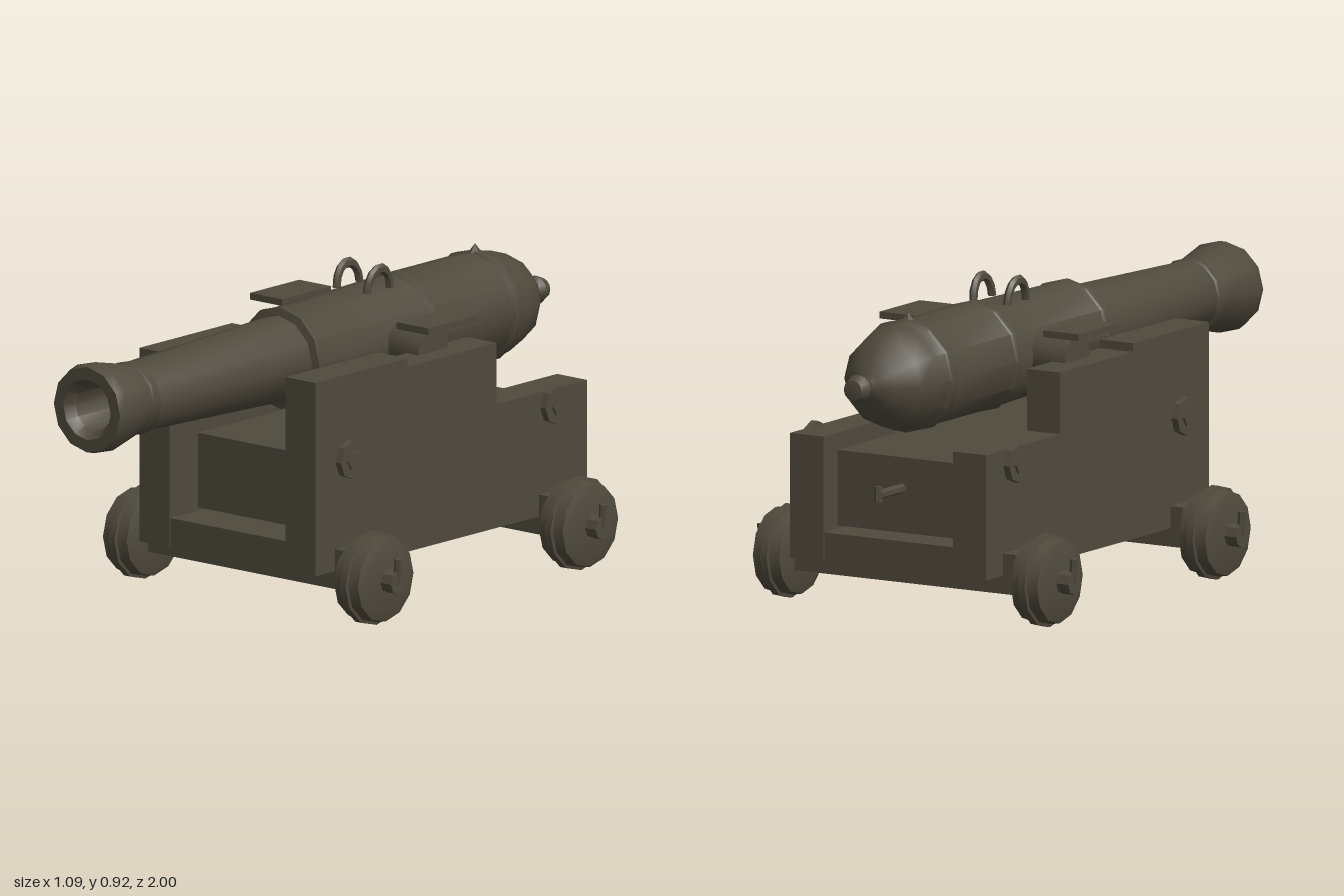
import * as THREE from 'three';
import { toCreasedNormals } from 'three/addons/utils/BufferGeometryUtils.js';

export function createModel() {
  const model = new THREE.Group();
  model.name = 'shipCannon';
  const iron = new THREE.MeshStandardMaterial({ color: 0x4f4a3d });
  iron.name = 'dark weathered iron';

  const add = (name, geometry, x = 0, y = 0, z = 0, parent = model) => {
    const mesh = new THREE.Mesh(toCreasedNormals(geometry, 0.7), iron);
    mesh.name = name;
    mesh.position.set(x, y, z);
    parent.add(mesh);
    return mesh;
  };
  // Box given by its minimum and maximum on each axis
  const block = (name, x0, x1, y0, y1, z0, z1) =>
    add(name, new THREE.BoxGeometry(x1 - x0, y1 - y0, z1 - z0),
      (x0 + x1) / 2, (y0 + y1) / 2, (z0 + z1) / 2);
  // Turned part from [radius, position along axis] pairs
  const turned = (points, sides) =>
    new THREE.LatheGeometry(points.map(([r, a]) => new THREE.Vector2(r, a)), sides);

  // Barrel with breech knob, reinforcing steps, flared muzzle and bore
  add('barrel', turned([
    [0, -1], [0.03, -0.995], [0.042, -0.965], [0.024, -0.925], [0.04, -0.915],
    [0.085, -0.89], [0.13, -0.835], [0.152, -0.765], [0.16, -0.72],
    [0.166, -0.715], [0.166, -0.69], [0.16, -0.685],
    [0.16, -0.37], [0.164, -0.365], [0.164, -0.345], [0.158, -0.34],
    [0.146, 0.13], [0.15, 0.135], [0.15, 0.155], [0.126, 0.16],
    [0.104, 0.795], [0.109, 0.8], [0.109, 0.825], [0.104, 0.83],
    [0.134, 0.965], [0.126, 1], [0.09, 1], [0.068, 0.97], [0.068, 0.75], [0, 0.75],
  ], 12).rotateX(Math.PI / 2), 0, 0.705, 0);
  add('vent', new THREE.ConeGeometry(0.022, 0.03, 5), 0, 0.875, -0.7);

  // Carriage bed between the cheeks
  block('floor', -0.22, 0.22, 0.155, 0.24, -0.8, 0.38);
  block('bed', -0.22, 0.22, 0.25, 0.47, -0.73, 0.26);
  add('rearHook', new THREE.CylinderGeometry(0.014, 0.014, 0.14, 6).rotateX(Math.PI / 2), 0, 0.38, -0.79);
  add('rearHookTip', new THREE.CylinderGeometry(0.012, 0.012, 0.045, 6), 0, 0.382, -0.858);

  const wheelProfile = [[0, -0.055], [0.09, -0.055], [0.122, -0.045], [0.128, -0.013], [0.137, -0.011],
    [0.137, 0.011], [0.128, 0.013], [0.122, 0.045], [0.09, 0.055], [0, 0.055]];

  for (const s of [-1, 1]) {
    const side = s < 0 ? 'right' : 'left';
    const pair = (a, b) => (s > 0 ? [a, b] : [-b, -a]);
    const cheek = pair(0.22, 0.333);

    // Stepped cheek
    block(side + 'CheekFront', ...cheek, 0.155, 0.725, -0.02, 0.385);
    block(side + 'CheekMiddle', ...cheek, 0.155, 0.7, -0.41, -0.02);
    block(side + 'CheekRear', ...cheek, 0.155, 0.52, -0.805, -0.41);

    // Trunnion and its cap plate
    add(side + 'Trunnion', new THREE.CylinderGeometry(0.066, 0.066, 0.165, 12).rotateZ(Math.PI / 2),
      s * 0.1825, 0.705, -0.21);
    block(side + 'CapPlate', ...pair(0.217, 0.338), 0.778, 0.798, -0.32, -0.105);

    // Lifting handle, an arch along the barrel
    const arch = new THREE.TorusGeometry(0.05, 0.012, 6, 7, Math.PI).rotateY(Math.PI / 2).scale(1, 1.3, 1);
    add(side + 'Handle', arch, s * 0.057, 0.848, -0.21).rotation.z = -s * 0.06;

    for (const z of [0.25, -0.647]) {
      const end = z > 0 ? 'Front' : 'Rear';
      // Wheel, hub and linchpin
      const wheel = new THREE.Group();
      wheel.name = side + end + 'Wheel';
      wheel.position.set(s * 0.438, 0.143, z);
      model.add(wheel);
      add('tyre', turned(wheelProfile, 12).rotateZ(-Math.PI / 2), 0, 0, 0, wheel);
      add('hub', new THREE.CylinderGeometry(0.035, 0.035, 0.045, 8).rotateZ(Math.PI / 2),
        s * 0.073, 0, 0, wheel);
      add('linchpin', new THREE.CylinderGeometry(0.012, 0.01, 0.09, 6),
        s * 0.09, 0.025, 0, wheel).rotation.z = -s * 0.1;

      // Bolt on the cheek
      add(side + end + 'Washer', new THREE.CylinderGeometry(0.057, 0.057, 0.022, 8).rotateZ(Math.PI / 2),
        s * 0.343, 0.475, z - 0.01);
      add(side + end + 'Nut', new THREE.CylinderGeometry(0.03, 0.03, 0.012, 6).rotateZ(Math.PI / 2),
        s * 0.355, 0.475, z - 0.01);
    }
  }

  // Axle beams with round ends passing into the wheels
  for (const z of [0.238, -0.655]) {
    const end = z > 0 ? 'front' : 'rear';
    block(end + 'Axle', -0.376, 0.376, 0.102, 0.22, z - 0.06, z + 0.06);
    add(end + 'AxleShaft', new THREE.CylinderGeometry(0.03, 0.03, 0.8, 8).rotateZ(Math.PI / 2), 0, 0.143, z);
  }

  return model;
}
